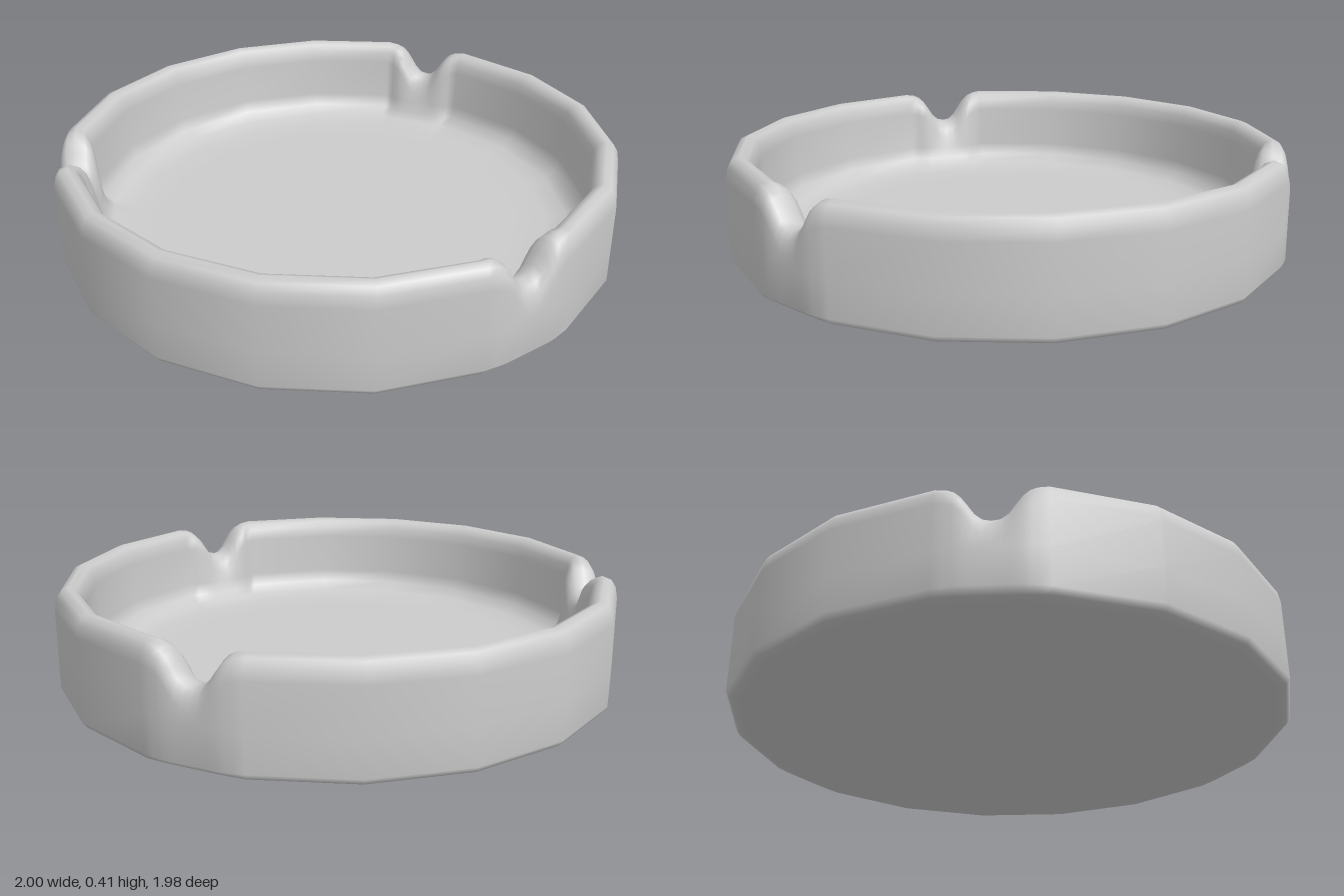
import * as THREE from 'three';

const SIDES = 18;
const HALF = Math.PI / SIDES;
const NOTCH_EDGES = [1, 7, 13]; // edges centred on 30, 150 and 270 degrees

// Cross-section from under the base, up the wall, over the rim and back to the floor:
// [radius, height, bulge at a notch, drops with the notch]
const PROFILE = [
  [0, 0, 0, 0], [0.84, 0.004, 0, 0], [0.95, 0.014, 0, 0], [0.985, 0.024, 0.005, 0],
  [1, 0.045, 0.014, 0], [1, 0.17, 0.014, 0], [1, 0.33, 0.014, 1], [0.992, 0.37, 0.012, 1],
  [0.977, 0.394, 0.01, 1], [0.952, 0.405, 0, 1], [0.927, 0.394, -0.01, 1],
  [0.911, 0.37, -0.015, 1], [0.904, 0.33, -0.02, 1], [0.896, 0.18, -0.025, 0],
  [0.88, 0.135, -0.02, 0], [0.84, 0.104, -0.005, 0], [0.77, 0.09, 0, 0],
  [0.65, 0.088, 0, 0], [0, 0.088, 0, 0],
];

// Half of a notch: [position along the edge, drop, bulge weight]
const NOTCH = [[0, 0.12, 1], [0.16, 0.115, 1], [0.3, 0.095, 1], [0.42, 0.064, 1],
  [0.54, 0.035, 0.95], [0.66, 0.016, 0.8], [0.8, 0.005, 0.45]];

// Stations around the ring: the corner of each side, plus extra ones across notches
function ringStations() {
  const stations = [];
  for (let e = 0; e < SIDES; e++) {
    const angle = (2 * e + 1) * HALF;
    stations.push({ angle, f: -1, drop: 0, bulge: 0 });
    if (!NOTCH_EDGES.includes(e)) continue;
    const left = NOTCH.slice(1).reverse().map(([f, d, b]) => [-f, d, b]);
    for (const [f, drop, bulge] of [...left, ...NOTCH]) stations.push({ angle, f, drop, bulge });
  }
  return stations;
}

// Sweep the cross-section around the polygonal ring
function bowlGeometry() {
  const stations = ringStations();
  const n = stations.length;
  const positions = [];
  const index = [];
  for (const [r, y, push, drops] of PROFILE) {
    for (const { angle, f, drop, bulge } of stations) {
      const out = r * Math.cos(HALF) + push * bulge;
      const along = r * Math.sin(HALF) * f;
      positions.push(
        out * Math.cos(angle) - along * Math.sin(angle),
        y - drops * drop,
        out * Math.sin(angle) + along * Math.cos(angle));
    }
  }
  for (let i = 0; i < PROFILE.length - 1; i++) {
    for (let j = 0; j < n; j++) {
      const k = (j + 1) % n;
      const a = i * n + j, b = i * n + k, c = a + n, d = b + n;
      if (i > 0) index.push(a, c, b);
      if (i < PROFILE.length - 2) index.push(b, c, d);
      if (i === 0) index.push(a, c, d);
    }
  }
  const geometry = new THREE.BufferGeometry();
  geometry.setAttribute('position', new THREE.Float32BufferAttribute(positions, 3));
  geometry.setIndex(index);
  geometry.computeVertexNormals();
  return geometry;
}

export function createModel() {
  const group = new THREE.Group();
  group.name = 'ashtray';
  const bowl = new THREE.Mesh(bowlGeometry(), new THREE.MeshStandardMaterial({ color: 0xcccccc }));
  bowl.name = 'notchedBowl';
  group.add(bowl);
  return group;
}
